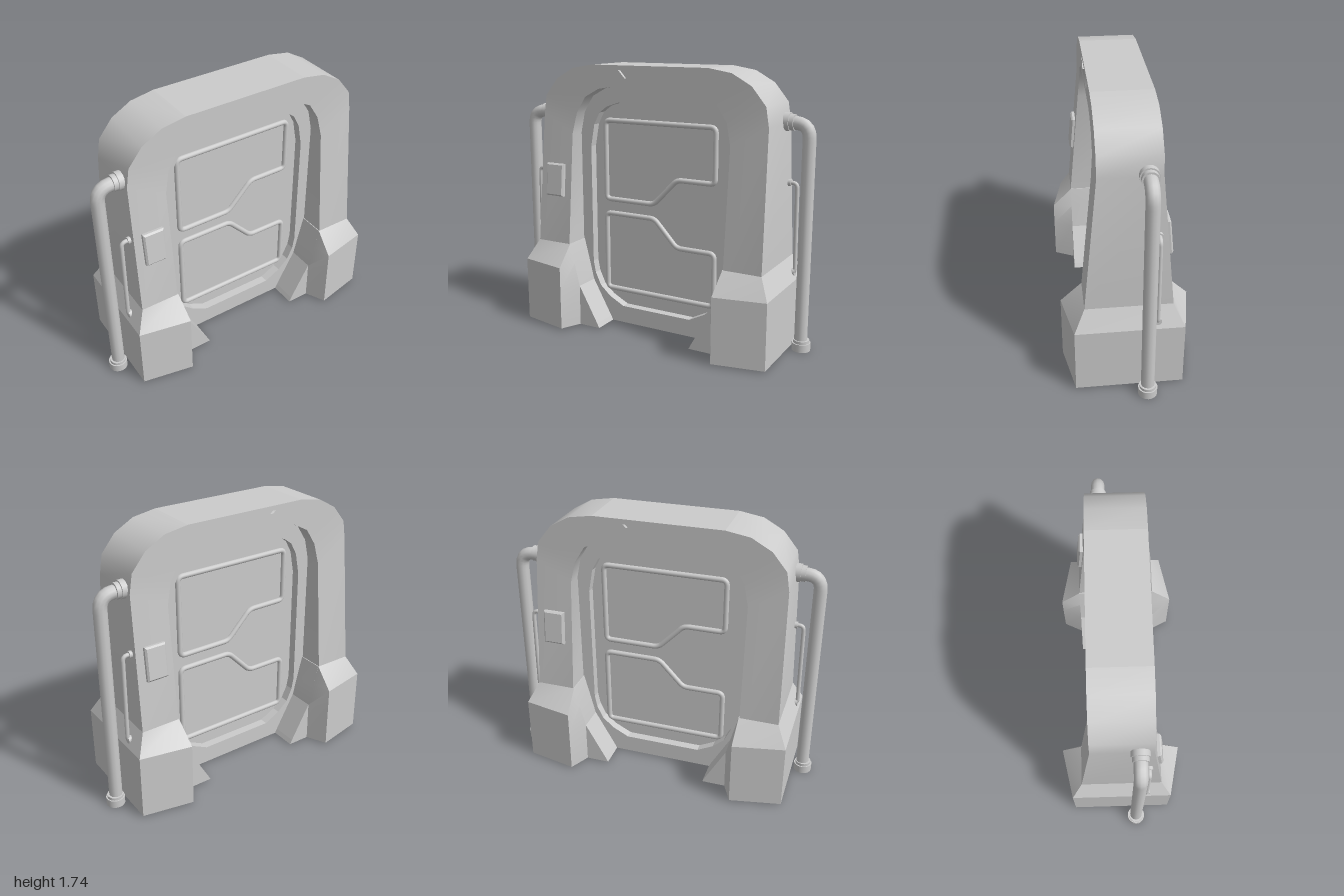
import * as THREE from 'three';
import { toCreasedNormals } from 'three/addons/utils/BufferGeometryUtils.js';

const grey = new THREE.MeshStandardMaterial({ color: 0xcccccc });
const V = (x, y, z = 0) => new THREE.Vector3(x, y, z);

function part(name, geometry, parent) {
  const mesh = new THREE.Mesh(geometry, grey);
  mesh.name = name;
  parent.add(mesh);
  return mesh;
}

// Skin a list of closed rings (counter-clockwise seen from the last ring), capped at both ends
function loft(rings, crease) {
  const pos = [];
  const tri = (...pts) => pts.forEach(p => pos.push(...p));
  const n = rings[0].length, last = rings[rings.length - 1];
  for (let k = 0; k < rings.length - 1; k++) {
    for (let i = 0; i < n; i++) {
      const j = (i + 1) % n, r = rings[k], s = rings[k + 1];
      tri(r[i], r[j], s[j]);
      tri(r[i], s[j], s[i]);
    }
  }
  for (let i = 1; i < n - 1; i++) {
    tri(rings[0][0], rings[0][i + 1], rings[0][i]);
    tri(last[0], last[i], last[i + 1]);
  }
  const geo = new THREE.BufferGeometry();
  geo.setAttribute('position', new THREE.Float32BufferAttribute(pos, 3));
  return toCreasedNormals(geo, crease);
}

// Flat plate with optional hole, centred on z = 0
function plate(outline, hole, halfDepth) {
  const to2 = pts => pts.map(p => new THREE.Vector2(...p));
  const shape = new THREE.Shape(to2(outline));
  if (hole) shape.holes.push(new THREE.Path(to2(hole)));
  return new THREE.ExtrudeGeometry(shape, { depth: halfDepth * 2, bevelEnabled: false })
    .translate(0, 0, -halfDepth);
}

const mirrorX = pts => [...pts, ...pts.map(([x, y]) => [-x, y]).reverse()];

// Polyline with rounded corners
function roundedPath(pts, radius, closed) {
  const path = new THREE.CurvePath(), n = pts.length;
  const toward = (a, b) => a.clone().add(b.clone().sub(a).setLength(radius));
  let from = closed ? toward(pts[0], pts[1]) : pts[0];
  const corners = closed ? n : n - 2;
  for (let k = 1; k <= corners; k++) {
    const c = pts[k % n], before = toward(c, pts[k - 1]), after = toward(c, pts[(k + 1) % n]);
    path.add(new THREE.LineCurve3(from, before));
    path.add(new THREE.QuadraticBezierCurve3(before, c, after));
    from = after;
  }
  if (!closed) path.add(new THREE.LineCurve3(from, pts[n - 1]));
  return path;
}

const tube = (pts, bend, r, segments, closed = false) =>
  new THREE.TubeGeometry(roundedPath(pts, bend, closed), segments, r, 12, closed);

// Collar whose axis lies along x or y
function collar(name, parent, r, length, x, y, z, alongX) {
  const mesh = part(name, new THREE.CylinderGeometry(r, r, length, 20), parent);
  mesh.position.set(x, y, z);
  if (alongX) mesh.rotation.z = Math.PI / 2;
}

// Half thickness of the frame, tapering upward
const frameZ = y => THREE.MathUtils.clamp(0.26 - (y - 0.56) * 0.08 / 0.85, 0.18, 0.26);

// One half of the gate: the right-hand side and the front-facing trim
function createHalf() {
  const half = new THREE.Group();

  // Upright and curved shoulder
  const outer = [[.805, .01], [.805, .56], [.79, 1.41], [.77, 1.53], [.68, 1.64], [.555, 1.71], [.405, 1.735]];
  const inner = [[.56, .01], [.56, .56], [.56, 1.29], [.53, 1.425], [.463, 1.53], [.36, 1.585], [.27, 1.6]];
  part('frameSide', loft(outer.map(([x, y], i) => {
    const [u, v] = inner[i], z = frameZ(y), w = frameZ(v);
    return [[x, y, z], [x, y, -z], [u, v, -w], [u, v, w]];
  }), 0.6), half);

  // Heavy base block with sloped shoulders
  const baseRing = (y, xo, zo, xm, zm, xi) =>
    [[xo, y, zo], [xo, y, -zo], [xm, y, -zm], [xi, y, -.26], [xi, y, .26], [xm, y, zm]];
  part('baseBlock', loft([
    baseRing(.01, .87, .325, .548, .39, .485),
    baseRing(.28, .87, .325, .548, .39, .485),
    baseRing(.43, .87, .325, .548, .39, .522),
    baseRing(.56, .805, .26, .556, .26, .555),
  ], 0.35), half);

  // Wedge foot inside the opening
  part('wedgeFoot', plate([[.6, .01], [.335, .01], [.35, .04], [.485, .28], [.6, .28]], null, .26), half);

  // Large side pipe with wall flange and floor socket
  const pz = -.1;
  part('largePipe', tube([V(.78, 1.415, pz), V(.936, 1.415, pz), V(.936, .02, pz)], .09, .041, 60), half);
  collar('pipeFlange', half, .056, .035, .80, 1.42, pz, true);
  collar('pipeFlangeRing', half, .049, .03, .83, 1.418, pz, true);
  collar('pipeSocket', half, .058, .05, .94, .025, pz);
  collar('pipeSocketRing', half, .05, .02, .94, .058, pz);

  // Small side pipe
  const sz = -.163;
  part('smallPipe', tube([V(.77, 1.04, sz), V(.852, 1.04, sz), V(.858, .47, sz), V(.80, .47, sz)], .03, .013, 60), half);
  collar('smallPipeTopCollar', half, .022, .03, .80, 1.04, sz, true);
  collar('smallPipeBottomCollar', half, .024, .03, .845, .475, sz, true);

  // Control box leaning with the rear face
  const boxRing = (w, h, z) => [[-w, -h, z], [w, -h, z], [w, h, z], [-w, h, z]];
  const box = part('controlBox', loft([
    boxRing(.068, .108, -.02), boxRing(.068, .108, .016), boxRing(.058, .098, .026),
  ], 0.3), half);
  box.position.set(.677, .98, -.222);
  box.rotation.set(-.094, Math.PI, 0, 'YXZ');

  // Raised trim loops on the front of the door
  const trims = {
    upperTrim: [[-.4, 1.372], [.397, 1.372], [.397, 1.022], [.13, 1.022], [-.04, .846], [-.4, .846]],
    lowerTrim: [[-.4, .75], [-.035, .75], [.13, .575], [.397, .575], [.397, .225], [-.4, .225]],
  };
  for (const [name, pts] of Object.entries(trims)) {
    part(name, tube(pts.map(([x, y]) => V(x, y, .039)), .035, .017, 240, true), half);
  }
  return half;
}

export function createModel() {
  const model = new THREE.Group();
  model.name = 'blastDoor';

  // Two identical halves, turned about the vertical axis
  const right = createHalf();
  right.name = 'sideA';
  const left = createHalf();
  left.name = 'sideB';
  left.rotation.y = Math.PI;
  model.add(right, left);

  // Lintel with a trapezoid recess on each face
  const recess = mirrorX([[.21, 1.705], [.145, 1.635]]);
  part('lintel', plate(mirrorX([[.405, 1.735], [.27, 1.6]]), recess, .18), model);
  part('lintelRecess', plate(recess, null, .16), model);

  // Inner door surround
  const opening = mirrorX([[.25, .125], [.357, .18], [.43, .245], [.47, .33], [.485, .41], [.485, 1.2],
    [.458, 1.345], [.415, 1.425], [.357, 1.467], [.27, 1.495]]);
  part('doorSurround', plate(mirrorX([[.65, .01], [.65, 1.4], [.4, 1.65]]), opening, .09), model);

  // Door panel
  part('doorPanel', plate(opening, null, .035), model);
  return model;
}
